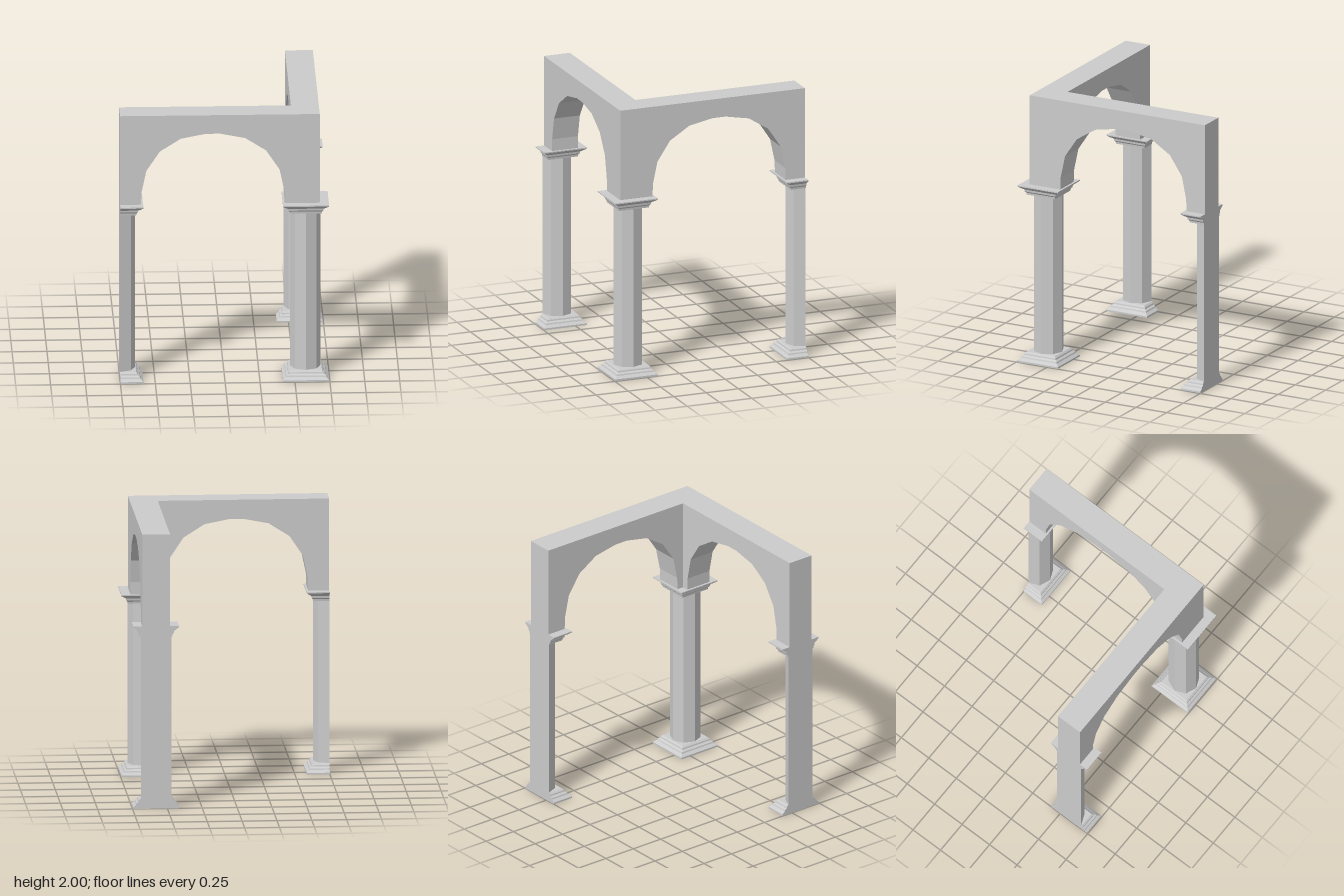
import * as THREE from 'three';

const material = new THREE.MeshStandardMaterial({ color: 0xcccccc, flatShading: true });
const END = -0.75;    // cut plane where the arcade stops
const AXIS = 0.58;    // centre line of both walls
const WALL = 0.2;     // wall thickness
const CAP_TOP = 1.33;
const TOP = 2;

// Moulding profiles as [half width, height]
const BASE = [[0, 0], [0.165, 0], [0.165, 0.012], [0.145, 0.03], [0.142, 0.04],
  [0.128, 0.05], [0.126, 0.06], [0.115, 0.072], [0, 0.072]];
const SHAFT = [[0, 0.06], [0.11, 0.06], [0.11, 1.265], [0, 1.265]];
const CAPITAL = [[0, 1.255], [0.115, 1.255], [0.117, 1.27], [0.126, 1.28], [0.128, 1.295],
  [0.147, 1.308], [0.165, 1.322], [0.165, CAP_TOP], [0, CAP_TOP]];

// Turns a profile with few sides; a half part is flattened onto x = 0
function turned(name, profile, sides, half) {
  const square = sides === 4;
  const points = profile.map(([r, y]) => new THREE.Vector2(square ? r * Math.SQRT2 : r, y));
  const geometry = new THREE.LatheGeometry(points, sides, square ? Math.PI / 4 : 0);
  if (half) {
    const pos = geometry.attributes.position;
    for (let i = 0; i < pos.count; i++) pos.setX(i, Math.max(0, pos.getX(i)));
  }
  const flat = geometry.toNonIndexed();
  flat.computeVertexNormals();
  const mesh = new THREE.Mesh(flat, material);
  mesh.name = name;
  return mesh;
}

function column(name, half) {
  const group = new THREE.Group();
  group.name = name;
  group.add(
    turned('columnBase', BASE, 4, half),
    turned('columnShaft', SHAFT, 8, half),
    turned('columnCapital', CAPITAL, 4, half)
  );
  return group;
}

// Wall outline with a faceted arch cut out of its lower edge
function archWall(name, end) {
  const middle = -0.085;
  const side = [[0.515, CAP_TOP], [0.512, 1.42], [0.477, 1.585], [0.38, 1.73],
    [0.23, 1.825], [0.05, 1.86]];
  const arch = [
    ...side.map(([x, y]) => [middle - x, y]),
    ...side.slice().reverse().map(([x, y]) => [middle + x, y])
  ];
  const outline = [[END, CAP_TOP], ...arch, [end, CAP_TOP], [end, TOP], [END, TOP]];
  const shape = new THREE.Shape(outline.map(([x, y]) => new THREE.Vector2(x, y)));
  const geometry = new THREE.ExtrudeGeometry(shape, { depth: WALL, bevelEnabled: false });
  geometry.translate(0, 0, -WALL / 2);
  const mesh = new THREE.Mesh(geometry, material);
  mesh.name = name;
  return mesh;
}

export function createModel() {
  const model = new THREE.Group();
  model.name = 'cornerArcade';

  // Full column at the corner
  const corner = column('cornerColumn', false);
  corner.position.set(AXIS, 0, AXIS);

  // Half columns at the two open ends
  const left = column('leftHalfColumn', true);
  left.position.set(END, 0, AXIS);
  const back = column('backHalfColumn', true);
  back.rotation.y = -Math.PI / 2;
  back.position.set(AXIS, 0, END);

  // Front wall runs through the corner, side wall butts against it
  const front = archWall('frontArchWall', AXIS + WALL / 2);
  front.position.z = AXIS;
  const sideWall = archWall('sideArchWall', AXIS - WALL / 2);
  sideWall.rotation.y = -Math.PI / 2;
  sideWall.position.x = AXIS;

  model.add(corner, left, back, front, sideWall);
  return model;
}
